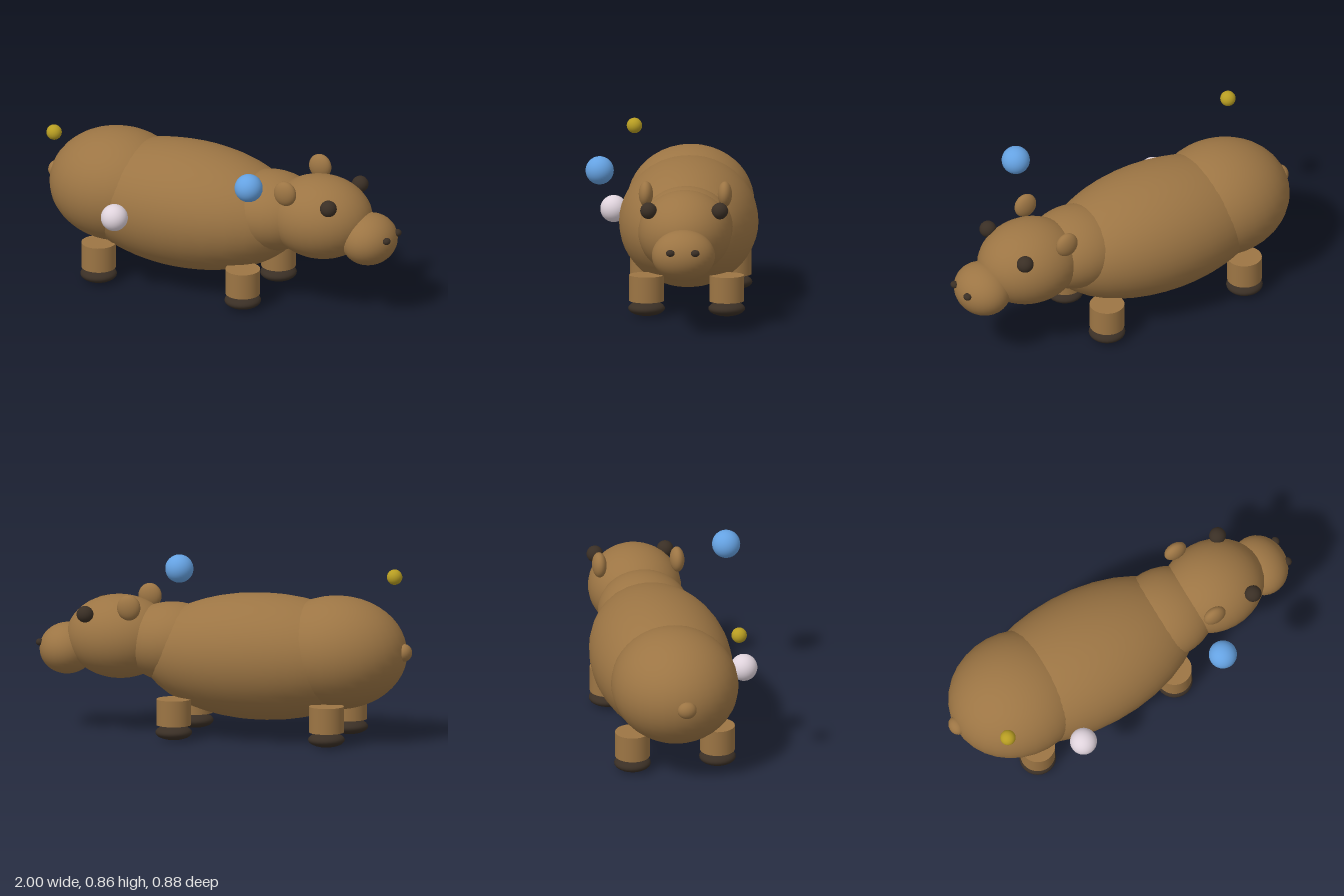
import * as THREE from 'three';

const mat = (name, color) => {
  const m = new THREE.MeshStandardMaterial({ color });
  m.name = name;
  return m;
};

export function createModel() {
  const hide = mat('brown hide', 0x9c7544);
  const dark = mat('dark brown', 0x3a2f25);
  const blue = mat('sky blue', 0x65a2e2);
  const gold = mat('gold', 0xb79d22);
  const pale = mat('pale pink', 0xdfd3dc);

  const model = new THREE.Group();
  model.name = 'animal';
  const midZ = -0.08; // the animal's plane of symmetry

  const add = (name, geometry, material, x, y, z) => {
    const mesh = new THREE.Mesh(geometry, material);
    mesh.name = name;
    mesh.position.set(x, y, z);
    model.add(mesh);
  };
  const ellipsoid = (name, material, [x, y, z], [rx, ry, rz], segments = 32) =>
    add(name, new THREE.SphereGeometry(1, segments, segments * 0.75).scale(rx, ry, rz), material, x, y, z);

  // Trunk, neck, head and tail, running along x
  ellipsoid('body', hide, [-0.2, 0.425, midZ], [0.64, 0.328, 0.36]);
  ellipsoid('rump', hide, [-0.6, 0.462, midZ], [0.365, 0.293, 0.328]);
  ellipsoid('neck', hide, [0.28, 0.48, midZ], [0.27, 0.206, 0.24]);
  ellipsoid('head', hide, [0.565, 0.497, midZ], [0.277, 0.217, 0.24]);
  ellipsoid('snout', hide, [0.845, 0.423, midZ], [0.143, 0.133, 0.163]);
  ellipsoid('tail', hide, [-0.96, 0.475, midZ], [0.04, 0.045, 0.05], 20);

  for (const side of [-1, 1]) {
    const label = side > 0 ? 'near' : 'far';

    // Paired face details
    ellipsoid(label + 'Eye', dark, [0.7, 0.633, midZ + side * 0.184], [0.044, 0.043, 0.043], 20);
    ellipsoid(label + 'Ear', hide, [0.46, 0.68, midZ + side * 0.204], [0.062, 0.066, 0.037], 24);
    ellipsoid(label + 'Nostril', dark, [0.976, 0.457, midZ + side * 0.064], [0.02, 0.018, 0.023], 16);

    // Stub legs on flattened feet
    for (const [end, x, offset] of [['Front', 0.218, 0.207], ['Rear', -0.605, 0.223]]) {
      const z = midZ + side * offset;
      add(label + end + 'Leg', new THREE.CylinderGeometry(0.09, 0.09, 0.135, 32), hide, x, 0.1475, z);
      ellipsoid(label + end + 'Foot', dark, [x, 0.041, z], [0.095, 0.039, 0.095], 24);
    }
  }

  // Floating balls
  ellipsoid('blueBall', blue, [0.37, 0.787, 0.365], [0.073, 0.073, 0.073]);
  ellipsoid('goldBall', gold, [-0.825, 0.818, 0.217], [0.04, 0.04, 0.04], 24);
  ellipsoid('paleBall', pale, [-0.43, 0.45, 0.313], [0.07, 0.07, 0.07]);

  return model;
}
